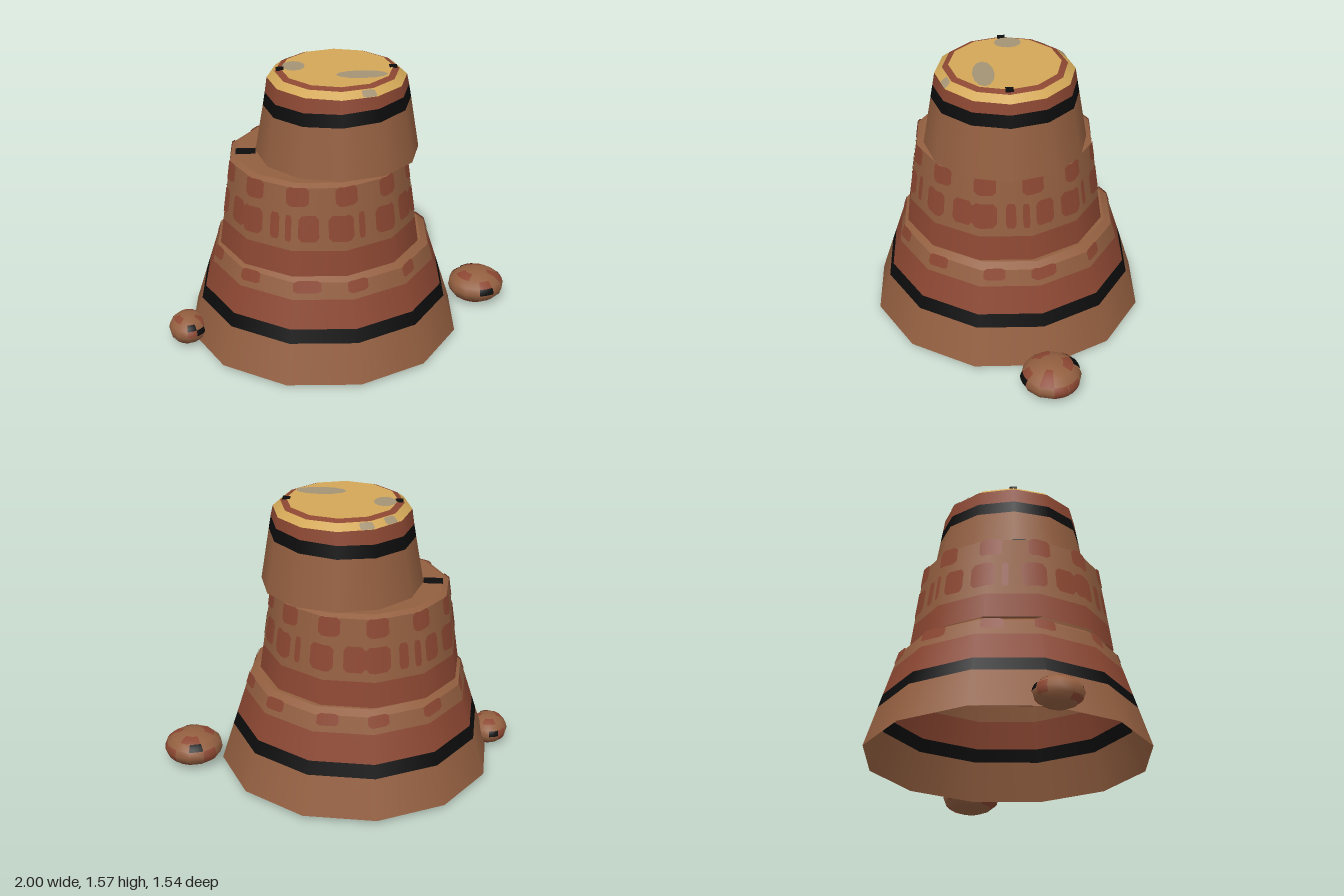
import * as THREE from 'three';
import { mergeGeometries } from 'three/addons/utils/BufferGeometryUtils.js';

const DEG = Math.PI / 180, SIDES = 12, STEP = 30;

export function createModel() {
  const mat = (name, color, side = THREE.DoubleSide) => {
    const m = new THREE.MeshStandardMaterial({ color, side });
    m.name = name;
    return m;
  };
  const brown = mat('brown clay', 0x935f40);
  const brick = mat('red brick', 0x8c4732);
  const black = mat('black paint', 0x0c0c0c);
  const yellow = mat('yellow sand', 0xd2a757);
  const grey = mat('grey stain', 0xa59475);

  const model = new THREE.Group();
  model.name = 'stackedTower';

  const add = (parent, name, geometry, material) => {
    const mesh = new THREE.Mesh(geometry, material);
    mesh.name = name;
    parent.add(mesh);
    return mesh;
  };

  // Open twelve-sided band between two heights
  function band(t, name, rLow, yLow, rHigh, yHigh, material) {
    const g = new THREE.CylinderGeometry(rHigh, rLow, yHigh - yLow, SIDES, 1, true, t.phase * DEG);
    g.translate(0, (yLow + yHigh) / 2, 0);
    if (t.tilt) {
      const p = g.attributes.position;
      for (let i = 0; i < p.count; i++) {
        const y = p.getY(i);
        if (y > 1.3 && y < 1.5) p.setY(i, y + t.tilt * p.getX(i));
      }
    }
    return add(t.group, name, g, material);
  }

  // Flat twelve-sided cap
  function cap(t, name, r, y, material) {
    const g = new THREE.CircleGeometry(r, SIDES, (t.phase - 90) * DEG);
    g.rotateX(-Math.PI / 2).translate(0, y, 0);
    return add(t.group, name, g, material);
  }

  const radiusAt = (t, y) => t.r0 + (t.r1 - t.r0) * (y - t.y0) / (t.y1 - t.y0);

  // Thin painted patch with clipped corners that follows the tier's wall
  function patch(t, centre, width, yLow, yHigh) {
    const a0 = centre - width / 2, a1 = centre + width / 2, cut = width * 0.16;
    const angles = [a0, a0 + cut, a1 - cut, a1];
    for (let a = t.phase - 360; a < 720; a += STEP) {
      if (a > a0 + cut && a < a1 - cut) angles.push(a);
    }
    angles.sort((p, q) => p - q);
    const pos = [], nor = [], idx = [];
    const slope = (t.r0 - t.r1) / (t.y1 - t.y0);
    angles.forEach((a, i) => {
      const inset = (a === a0 || a === a1) ? (yHigh - yLow) * 0.16 : 0;
      const local = (((a - t.phase) % STEP) + STEP) % STEP - STEP / 2;
      const flat = Math.cos(STEP / 2 * DEG) / Math.cos(local * DEG);
      const s = Math.sin(a * DEG), c = Math.cos(a * DEG);
      const n = new THREE.Vector3(s, slope, c).normalize();
      for (const y of [yLow + inset, yHigh - inset]) {
        const r = radiusAt(t, y) * flat + 0.004;
        pos.push(r * s, y, r * c);
        nor.push(n.x, n.y, n.z);
      }
      if (i > 0) {
        const k = 2 * i - 2;
        idx.push(k, k + 2, k + 3, k, k + 3, k + 1);
      }
    });
    const g = new THREE.BufferGeometry();
    g.setAttribute('position', new THREE.Float32BufferAttribute(pos, 3));
    g.setAttribute('normal', new THREE.Float32BufferAttribute(nor, 3));
    g.setIndex(idx);
    return g;
  }

  function tier(name, x, z, phase, r0, y0, r1, y1, bands, tilt = 0) {
    const t = { phase, r0, y0, r1, y1, tilt, group: new THREE.Group() };
    t.group.name = name;
    t.group.position.set(x, 0, z);
    model.add(t.group);
    for (const [label, lo, hi, m] of bands) {
      band(t, label, radiusAt(t, lo), lo, radiusAt(t, hi), hi, m);
    }
    return t;
  }

  // Bottom tier, hollow and open below
  const base = tier('bottomTier', -0.105, 0, 12, 0.785, 0.02, 0.612, 0.56, [
    ['baseSkirt', 0.02, 0.24, brown],
    ['baseStripe', 0.24, 0.315, black],
    ['baseBrickBand', 0.315, 0.47, brick],
    ['baseUpperBand', 0.47, 0.56, brown],
  ]);
  band(base, 'baseBevel', 0.612, 0.56, 0.57, 0.588, brown);
  cap(base, 'baseTop', 0.57, 0.588, brown);
  const baseBricks = [];
  for (let i = 0; i < 12; i++) {
    baseBricks.push(patch(base, 17 + i * 30 + (i % 3 - 1) * 2, i % 4 === 3 ? 14 : 11, 0.505, 0.57));
  }
  add(base.group, 'baseBricks', mergeGeometries(baseBricks), brick);

  // Middle tier with two rows of bricks
  const middle = tier('middleTier', -0.125, 0.018, 12, 0.573, 0.588, 0.503, 1.075, [
    ['middleBrickBand', 0.588, 0.73, brick],
    ['middleMortar', 0.73, 1.075, brown],
  ]);
  band(middle, 'middleBevel', 0.503, 1.075, 0.47, 1.092, brown);
  cap(middle, 'middleTop', 0.47, 1.092, brown);
  const rowPattern = [[-46, 15], [-30, 6], [-21, 4], [-9, 12], [10, 15], [23, 4], [40, 15], [60, 13]];
  const middleBricks = [];
  for (let k = 0; k < 3; k++) {
    for (const [a, w] of rowPattern) middleBricks.push(patch(middle, a + k * 120, w, 0.78, 0.925));
  }
  for (let i = 0; i < 12; i++) middleBricks.push(patch(middle, 14 + i * 30, 14, 0.975, 1.08));
  add(middle.group, 'middleBricks', mergeGeometries(middleBricks), brick);
  const ledge = add(middle.group, 'ledgeMark', new THREE.BoxGeometry(0.11, 0.006, 0.07), black);
  ledge.position.set(-0.405, 1.094, 0.015);

  // Top tier with a slightly tilted stripe
  const top = tier('topTier', -0.022, 0.018, 0, 0.454, 1.092, 0.382, 1.52, [
    ['topWall', 1.092, 1.375, brown],
    ['topStripe', 1.375, 1.447, black],
    ['topBrickBand', 1.447, 1.52, brick],
  ], 0.035);
  band(top, 'topBevel', 0.382, 1.52, 0.34, 1.553, yellow);
  band(top, 'topRim', 0.34, 1.553, 0.306, 1.566, brick);
  cap(top, 'topDisc', 0.306, 1.566, yellow);

  // Stains and marks on the top
  for (const [x, z, rx, rz] of [[-0.235, -0.03, 0.062, 0.075], [0.125, 0.125, 0.14, 0.06]]) {
    const g = new THREE.CircleGeometry(1, 12).rotateX(-Math.PI / 2).scale(rx, 1, rz);
    add(top.group, 'topStain', g, grey).position.set(x, 1.569, z);
  }
  const bevelWall = { phase: 0, r0: 0.382, y0: 1.52, r1: 0.34, y1: 1.553 };
  for (const a of [24, -155, -130]) {
    add(top.group, 'bevelStain', patch(bevelWall, a, 12, 1.522, 1.551), grey);
  }
  for (const x of [-0.31, 0.305]) {
    add(top.group, 'rimMark', new THREE.BoxGeometry(0.042, 0.008, 0.042), black).position.set(x, 1.565, 0);
  }

  // Flattened stones with painted cells [column, row, columns, rows]
  function stone(name, centre, size, bricks, marks) {
    const g = new THREE.Group();
    g.name = name;
    g.position.set(...centre);
    g.scale.set(...size);
    model.add(g);
    add(g, 'stoneBody', new THREE.SphereGeometry(1, 12, 8), brown);
    const paint = (label, cells, m, r) => cells.forEach(([c, row, w, h]) => add(g, label,
      new THREE.SphereGeometry(r, w, h, c * 30 * DEG, w * 30 * DEG, row * 22.5 * DEG, h * 22.5 * DEG), m));
    paint('stoneBrick', bricks, brick, 1.01);
    paint('stoneMark', marks, black, 1.02);
  }
  const stoneBricks = [[0, 1, 2, 1], [3, 2, 1, 2], [5, 1, 1, 2], [6, 3, 2, 2], [8, 1, 2, 1], [10, 3, 1, 2], [1, 5, 2, 1], [7, 5, 2, 1]];
  stone('rightStone', [0.83, 0.095, -0.166], [0.167, 0.095, 0.167], stoneBricks, [[3, 3, 1, 1], [9, 2, 1, 1]]);
  stone('leftStone', [-0.89, 0.083, 0.2], [0.11, 0.083, 0.13], stoneBricks, [[3, 2, 1, 1], [4, 3, 1, 1], [9, 3, 1, 1]]);

  return model;
}
